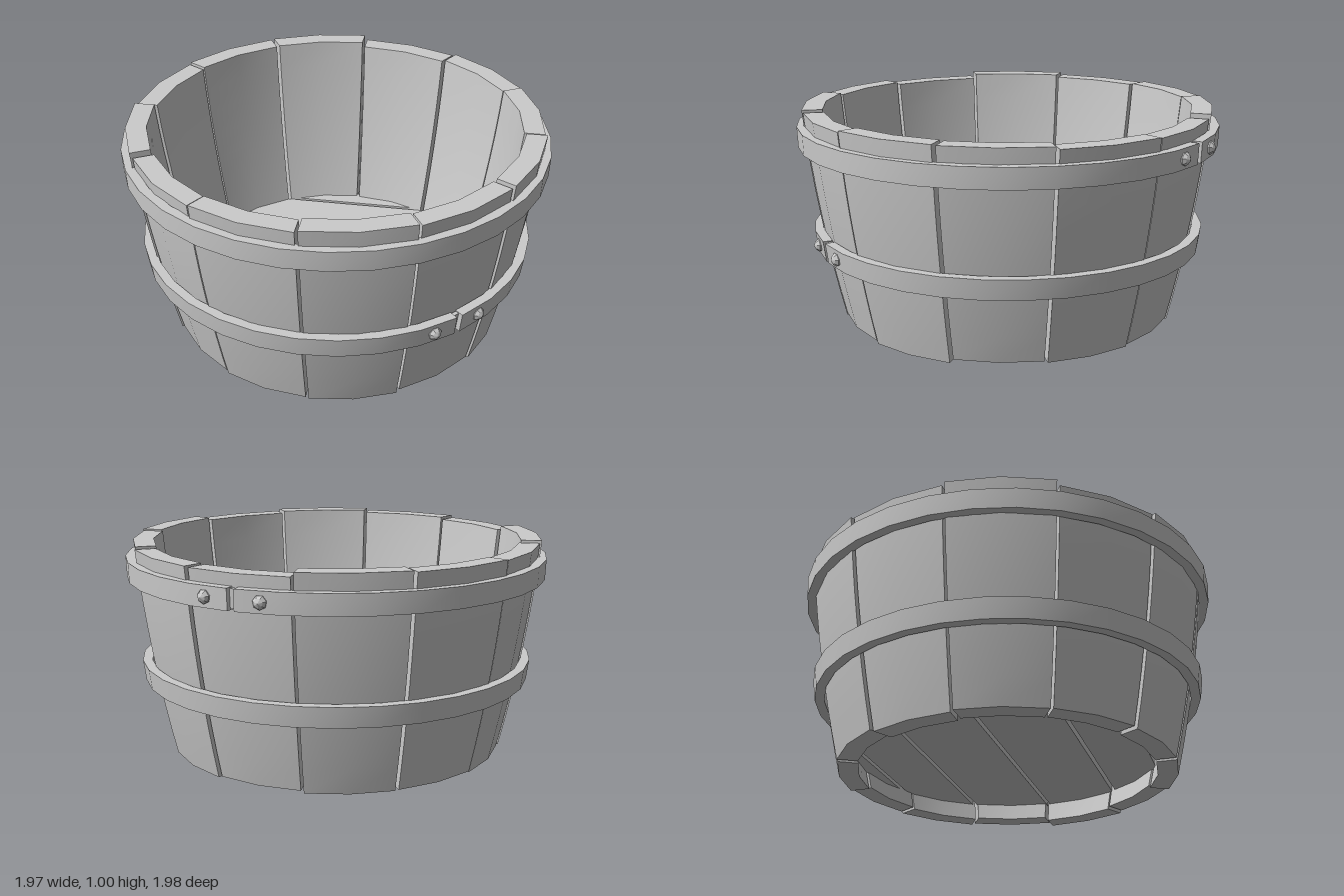
import * as THREE from 'three';

const DEG = Math.PI / 180;
const material = new THREE.MeshStandardMaterial({ color: 0xcccccc });
const flat = new THREE.MeshStandardMaterial({ color: 0xcccccc, flatShading: true });

// Outer stave radius by height, gently bowed
function staveRadius(y) {
  return 0.785 + 0.245 * y - 0.075 * y * y;
}

// Bend a unit box: x follows the angle, y the height, z the radius.
// place(u, v, w) gives [angle, y, radius] for u, v, w in 0..1
function bentBox(segU, segV, place) {
  const geo = new THREE.BoxGeometry(1, 1, 1, segU, segV, 1);
  const p = geo.attributes.position;
  for (let i = 0; i < p.count; i++) {
    const [a, y, r] = place(p.getX(i) + 0.5, p.getY(i) + 0.5, p.getZ(i) + 0.5);
    p.setXYZ(i, r * Math.sin(a), y, r * Math.cos(a));
  }
  geo.computeVertexNormals();
  return geo;
}

function addMesh(parent, name, geo, mat = material) {
  const mesh = new THREE.Mesh(geo, mat);
  mesh.name = name;
  parent.add(mesh);
  return mesh;
}

// Twelve staves with slightly uneven ends
function buildStaves() {
  const group = new THREE.Group();
  group.name = 'staves';
  const tops = [1.005, 0.995, 1.005, 1.0, 0.99, 0.985, 1.005, 1.0, 0.995, 1.005, 0.985, 0.995];
  const bottoms = [0, 0.015, 0.005, 0.02, 0.015, 0.02, 0.01, 0.015, 0.005, 0.01, 0.015, 0.005];
  const shifts = [0.005, 0, 0.006, -0.004, 0.002, -0.006, 0, 0.004, -0.003, 0.005, -0.004, 0.002];
  for (let i = 0; i < 12; i++) {
    const mid = (i * 30 + 15) * DEG;
    addMesh(group, 'stave', bentBox(2, 8, (u, v, w) => {
      const y = bottoms[i] + (tops[i] - bottoms[i]) * v;
      const r = staveRadius(y) + shifts[i] - 0.095 * (1 - w);
      const half = 15 * DEG - 0.007 / r;
      return [mid + (2 * u - 1) * half, y, r];
    }));
  }
  return group;
}

// Floor planks cut from a disc, running left to right
function buildFloor() {
  const group = new THREE.Group();
  group.name = 'floor';
  const R = 0.745, gap = 0.009;
  const cuts = [-R, -0.64, -0.365, 0.005, 0.375, 0.65, R];
  for (let i = 0; i < 6; i++) {
    const a0 = Math.asin(Math.max(-1, (cuts[i] + (i > 0 ? gap : 0)) / R));
    const a1 = Math.asin(Math.min(1, (cuts[i + 1] - (i < 5 ? gap : 0)) / R));
    const points = [];
    for (let k = 0; k <= 8; k++) {
      const a = a0 + (a1 - a0) * k / 8;
      points.push(new THREE.Vector2(R * Math.cos(a), R * Math.sin(a)));
    }
    for (let k = 8; k >= 0; k--) points.push(new THREE.Vector2(-points[k].x, points[k].y));
    const geo = new THREE.ExtrudeGeometry(new THREE.Shape(points), { depth: 0.05, bevelEnabled: false });
    geo.rotateX(Math.PI / 2);
    addMesh(group, 'floorPlank', geo).position.y = 0.15;
  }
  return group;
}

// Hoop with a narrow seam, a backing strap behind it and a bolt on each side
function buildHoop(name, y0, y1, r0, r1, seam, boltSpread) {
  const group = new THREE.Group();
  group.name = name;
  const gap = 0.9 * DEG;
  addMesh(group, 'band', bentBox(32, 1, (u, v, w) => [
    seam + gap + u * (2 * Math.PI - 2 * gap),
    y0 + (y1 - y0) * v,
    r0 + (r1 - r0) * v - 0.045 * (1 - w),
  ]));
  addMesh(group, 'backingStrap', bentBox(2, 1, (u, v, w) => [
    seam + (u - 0.5) * 8 * DEG,
    y0 + 0.005 + (y1 - y0 - 0.01) * v,
    r0 + (r1 - r0) * v - 0.024 - 0.02 * (1 - w),
  ]));
  const profile = [[0.03, -0.012], [0.031, 0.005], [0.02, 0.018], [0, 0.028]];
  const boltGeo = new THREE.LatheGeometry(profile.map(([x, y]) => new THREE.Vector2(x, y)), 7);
  boltGeo.rotateX(Math.PI / 2);
  for (const side of [-1, 1]) {
    const a = seam + side * boltSpread;
    const r = (r0 + r1) / 2 - 0.003;
    const bolt = addMesh(group, 'bolt', boltGeo, flat);
    bolt.position.set(r * Math.sin(a), (y0 + y1) / 2, r * Math.cos(a));
    bolt.rotation.y = a;
  }
  return group;
}

export function createModel() {
  const model = new THREE.Group();
  model.name = 'woodenTub';
  model.add(
    buildStaves(),
    buildFloor(),
    buildHoop('upperHoop', 0.835, 0.93, 0.982, 0.986, 165 * DEG, 7.6 * DEG),
    buildHoop('lowerHoop', 0.348, 0.443, 0.912, 0.925, 44.5 * DEG, 7.6 * DEG),
  );
  return model;
}
